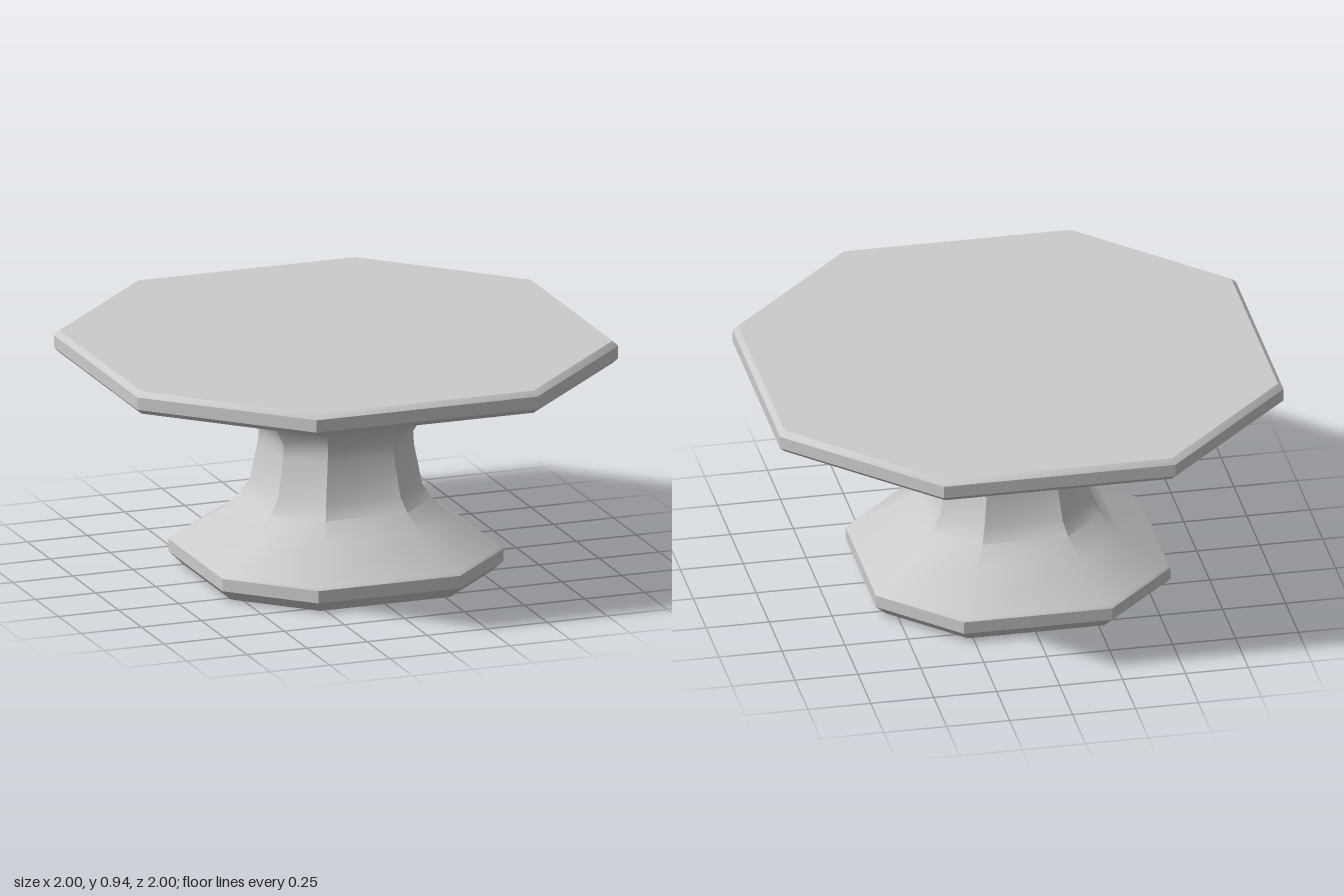
import * as THREE from 'three';
import { toCreasedNormals } from 'three/addons/utils/BufferGeometryUtils.js';

const material = new THREE.MeshStandardMaterial({ color: 0xcccccc });

// Octagon ring: a = distance to the axis-aligned sides, h = half their length
function ring([a, h, y]) {
  return [[a, h], [h, a], [-h, a], [-a, h], [-a, -h], [-h, -a], [h, -a], [a, -h]]
    .map(([x, z]) => [x, y, z]);
}

// Skin a stack of octagons from bottom to top and close both ends
function loftOctagons(name, profile) {
  const rings = profile.map(ring);
  const last = rings.length - 1;
  const bottom = [0, profile[0][2], 0];
  const top = [0, profile[last][2], 0];
  const points = [];
  for (let i = 0; i < 8; i++) {
    const j = (i + 1) % 8;
    for (let k = 0; k < last; k++) {
      const lo = rings[k], hi = rings[k + 1];
      points.push(lo[i], hi[i], lo[j], lo[j], hi[i], hi[j]);
    }
    points.push(bottom, rings[0][i], rings[0][j]);
    points.push(top, rings[last][j], rings[last][i]);
  }
  const geometry = new THREE.BufferGeometry();
  geometry.setAttribute('position', new THREE.Float32BufferAttribute(points.flat(), 3));
  const mesh = new THREE.Mesh(toCreasedNormals(geometry, THREE.MathUtils.degToRad(35)), material);
  mesh.name = name;
  return mesh;
}

export function createModel() {
  const table = new THREE.Group();
  table.name = 'pedestalTable';

  // Chamfered tabletop slab
  table.add(loftOctagons('tabletop', [
    [0.98, 0.45, 0.85], [1, 0.46, 0.87], [1, 0.46, 0.92], [0.98, 0.45, 0.94],
  ]));

  // Foot, waisted column and flared head in one skin
  table.add(loftOctagons('pedestal', [
    [0.54, 0.27, 0], [0.585, 0.295, 0.045], [0.585, 0.295, 0.095], [0.575, 0.29, 0.105],
    [0.405, 0.205, 0.22], [0.335, 0.17, 0.295], [0.3, 0.155, 0.35],
    [0.272, 0.138, 0.51], [0.27, 0.135, 0.56], [0.305, 0.152, 0.63],
    [0.5, 0.25, 0.82], [0.525, 0.262, 0.84], [0.55, 0.275, 0.852],
  ]));

  return table;
}
